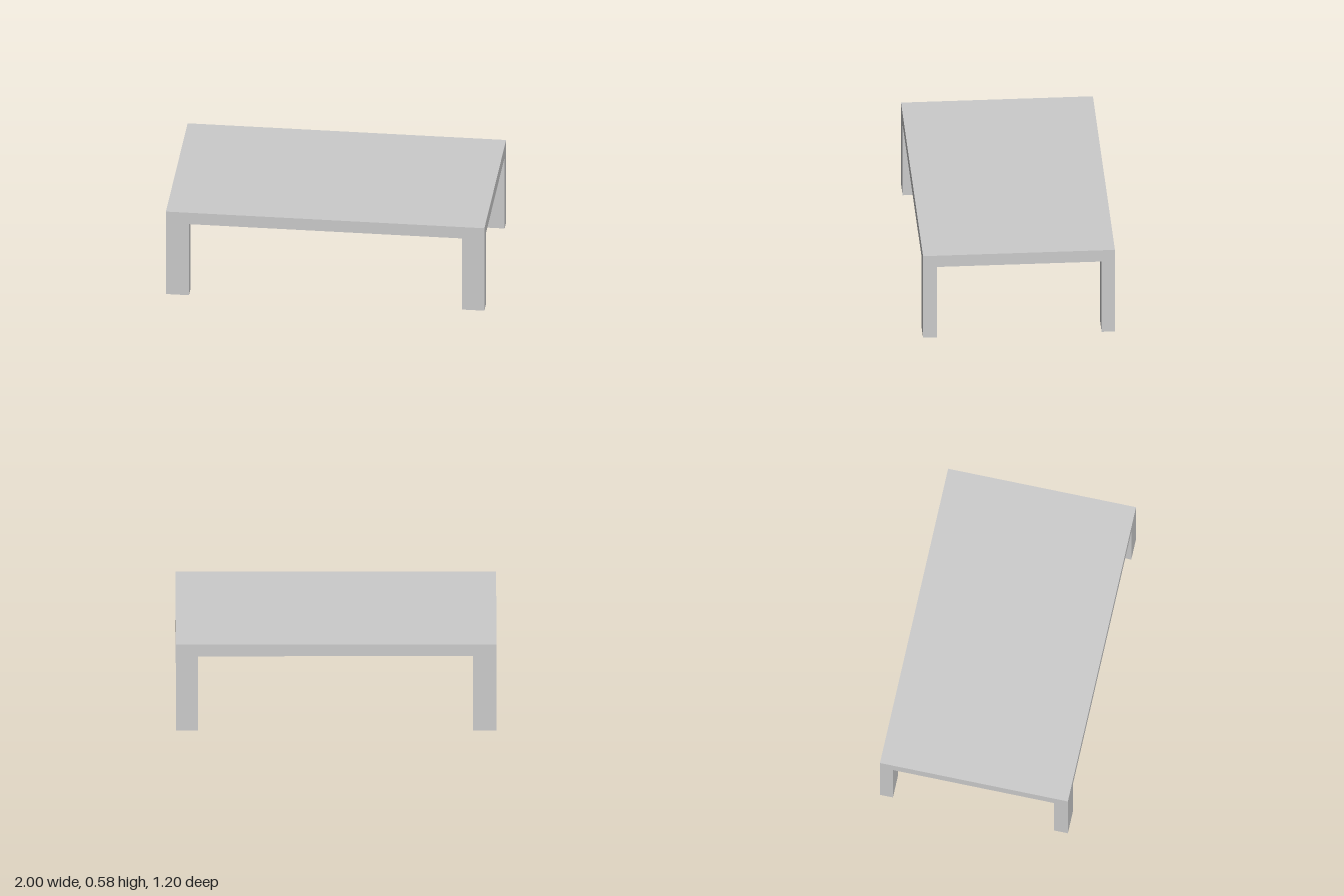
import * as THREE from 'three';

const material = new THREE.MeshStandardMaterial({ color: 0xcccccc, flatShading: true });

// Box given by its minimum and maximum corners
function block(name, [x0, y0, z0], [x1, y1, z1]) {
  const mesh = new THREE.Mesh(new THREE.BoxGeometry(x1 - x0, y1 - y0, z1 - z0), material);
  mesh.position.set((x0 + x1) / 2, (y0 + y1) / 2, (z0 + z1) / 2);
  mesh.name = name;
  return mesh;
}

export function createModel() {
  const table = new THREE.Group();
  table.name = 'lowTable';

  const height = 0.58, legHeight = 0.5;

  // Solid slab, flush with the outer faces of the legs
  table.add(block('tableTop', [-1, legHeight, -0.6], [1, height, 0.6]));

  // Rectangular corner legs
  const sidesX = [['Left', 0.86, 1], ['Right', -1, -0.855]];
  const sidesZ = [['front', 0.513, 0.6], ['back', -0.6, -0.517]];
  for (const [xName, x0, x1] of sidesX) {
    for (const [zName, z0, z1] of sidesZ) {
      table.add(block(`${zName}${xName}Leg`, [x0, 0, z0], [x1, legHeight, z1]));
    }
  }
  return table;
}
